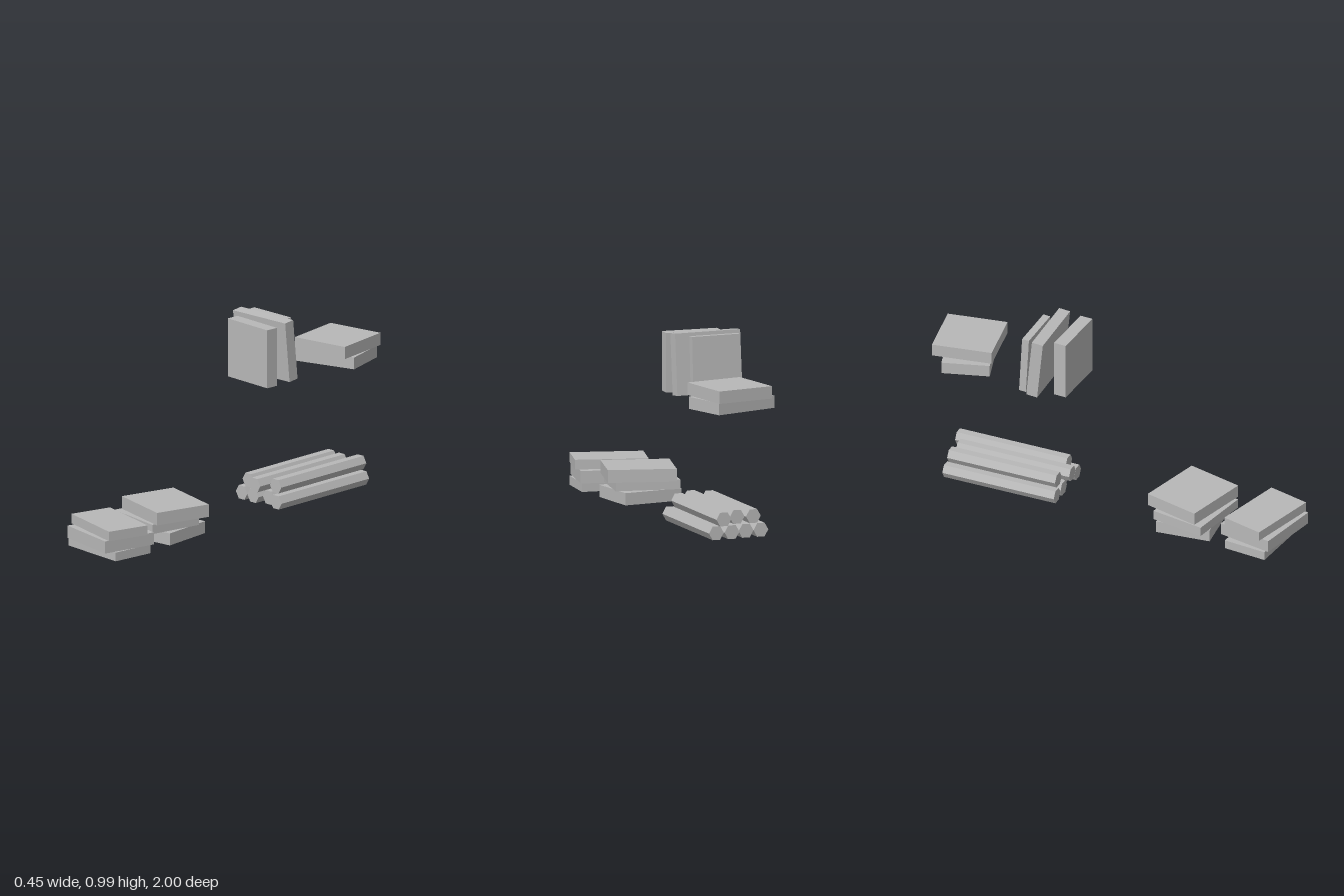
import * as THREE from 'three';

export function createModel() {
  const model = new THREE.Group();
  const stone = new THREE.MeshStandardMaterial({ color: 0xb8b8b8, flatShading: true });

  const slab = (parent, name, [w, h, d], [x, y, z], yaw, tilt = 0) => {
    const mesh = new THREE.Mesh(new THREE.BoxGeometry(w, h, d), stone);
    mesh.name = name;
    mesh.position.set(x, y, z);
    mesh.rotation.set(tilt, yaw, 0);
    parent.add(mesh);
  };

  // Flat piles: each layer is [width, depth, x, z, yaw, bottom, top]
  const pile = (name, layers) => {
    const group = new THREE.Group();
    group.name = name;
    layers.forEach(([w, d, x, z, yaw, y0, y1], i) =>
      slab(group, `${name}Layer${i + 1}`, [w, y1 - y0, d], [x, (y0 + y1) / 2, z], yaw));
    model.add(group);
  };
  pile('frontPile', [
    [0.375, 0.231, 0.003, 0.817, -0.098, 0, 0.046],
    [0.344, 0.296, 0.014, 0.82, -0.205, 0.046, 0.11],
    [0.376, 0.227, 0.011, 0.825, -0.263, 0.11, 0.16],
  ]);
  pile('middlePile', [
    [0.32, 0.286, 0, 0.428, 0.1, 0, 0.063],
    [0.334, 0.29, -0.02, 0.453, -0.178, 0.063, 0.112],
    [0.352, 0.304, 0.012, 0.423, -0.26, 0.112, 0.178],
  ]);
  pile('raisedPile', [
    [0.36, 0.247, 0, -0.81, 0.29, 0.665, 0.727],
    [0.31, 0.314, 0.015, -0.82, 0.162, 0.727, 0.791],
  ]);

  // Upright slabs, the rear two leaning forward
  const upright = new THREE.Group();
  upright.name = 'uprightSlabs';
  slab(upright, 'uprightFront', [0.295, 0.306, 0.067], [-0.013, 0.818, -0.232], -0.05);
  slab(upright, 'uprightMiddle', [0.36, 0.317, 0.06], [-0.044, 0.826, -0.357], 0.03, 0.1);
  slab(upright, 'uprightBack', [0.262, 0.308, 0.038], [-0.067, 0.82, -0.422], 0, 0.055);
  model.add(upright);

  // Bundle of six-sided rods: [x, y, front z, back z]
  const rods = new THREE.Group();
  rods.name = 'rodBundle';
  [
    [-0.127, 0.045, -0.27, -0.89],
    [-0.046, 0.045, -0.27, -0.89],
    [0.035, 0.045, -0.3, -0.9],
    [0.12, 0.045, -0.267, -0.9],
    [-0.09, 0.116, -0.28, -0.88],
    [-0.005, 0.116, -0.24, -0.87],
    [0.085, 0.116, -0.3, -0.915],
  ].forEach(([x, y, z0, z1], i) => {
    const geometry = new THREE.CylinderGeometry(0.0405, 0.0405, z0 - z1, 6, 1, false, Math.PI / 6);
    geometry.rotateX(Math.PI / 2);
    const rod = new THREE.Mesh(geometry, stone);
    rod.name = `rod${i + 1}`;
    rod.position.set(x, y, (z0 + z1) / 2);
    rods.add(rod);
  });
  model.add(rods);

  stone.name = 'stoneGrey';
  return model;
}
